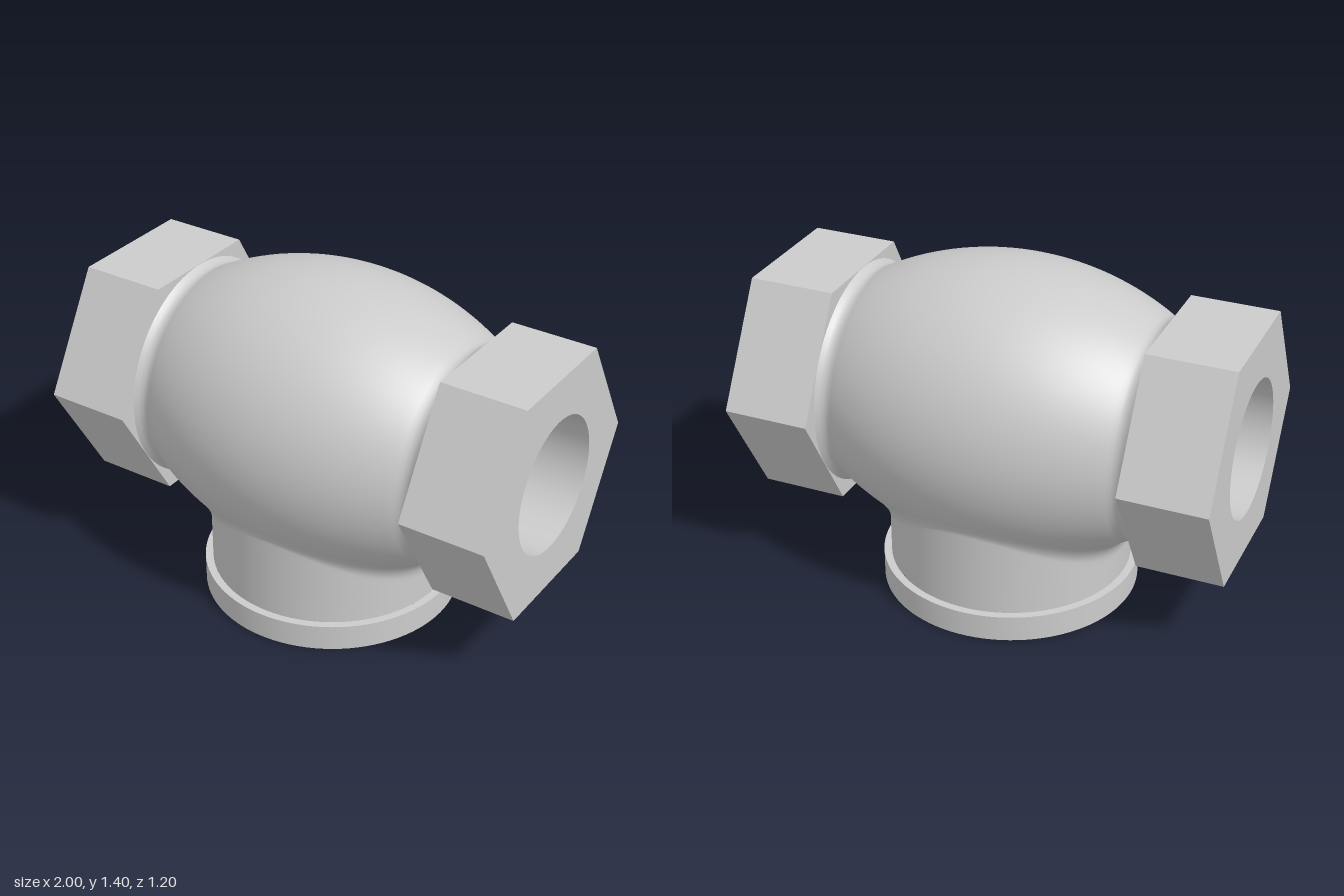
import * as THREE from 'three';
import { toCreasedNormals } from 'three/addons/utils/BufferGeometryUtils.js';

const AXIS = 0.8;      // height of the through-axis
const BORE = 0.28;     // port radius
const NECK = 0.5;      // outer neck radius
const NECK_IN = 0.42;  // inner neck radius

const material = new THREE.MeshStandardMaterial({ color: 0xcccccc });
const twoSided = new THREE.MeshStandardMaterial({ color: 0xcccccc, side: THREE.DoubleSide });
const inward = new THREE.MeshStandardMaterial({ color: 0xcccccc, side: THREE.BackSide });

function add(group, name, geometry, mat = material) {
  const mesh = new THREE.Mesh(geometry, mat);
  mesh.name = name;
  group.add(mesh);
  return mesh;
}

// Barrel radius at a distance x from the middle: shallow arc, then a small groove
function barrelRadius(x) {
  const a = Math.abs(x), R = 1.23;
  if (a <= 0.56) return 0.6 - R + Math.sqrt(R * R - a * a);
  const g = (a - 0.605) / 0.04;
  return 0.445 + 0.02 * g * g;
}

// Height of the barrel's underside at neck radius rho and angle t
function underside(rho, t, wall = 0) {
  const r = barrelRadius(rho * Math.cos(t)) - wall;
  const z = rho * Math.sin(t);
  return AXIS - Math.sqrt(Math.max(r * r - z * z, 0));
}

// Revolved barrel on the x axis, opened where the neck joins it
function barrel(half, wall, openRadius) {
  const points = [];
  for (let i = 0; i <= 72; i++) {
    const x = -half + (2 * half * i) / 72;
    points.push(new THREE.Vector2(barrelRadius(x) - wall, x));
  }
  const g = new THREE.LatheGeometry(points, 128);
  g.rotateZ(-Math.PI / 2).translate(0, AXIS, 0);
  const p = g.attributes.position, old = g.index.array, kept = [];
  for (let i = 0; i < old.length; i += 3) {
    const tri = [old[i], old[i + 1], old[i + 2]];
    const mean = (get) => tri.reduce((s, k) => s + get(k), 0) / 3;
    const x = mean((k) => p.getX(k)), y = mean((k) => p.getY(k)), z = mean((k) => p.getZ(k));
    if (y > AXIS || Math.hypot(x, z) > openRadius) kept.push(...tri);
  }
  g.setIndex(kept);
  return g;
}

// Closed surface around y; section(t) lists [radius, height] from bottom to top
function loft(section, n = 128) {
  const positions = [], index = [];
  let m = 0;
  for (let i = 0; i < n; i++) {
    const t = (i / n) * Math.PI * 2, row = section(t);
    m = row.length;
    for (const [r, y] of row) positions.push(r * Math.cos(t), y, r * Math.sin(t));
  }
  for (let i = 0; i < n; i++) {
    for (let j = 0; j < m - 1; j++) {
      const a = i * m + j, b = ((i + 1) % n) * m + j;
      index.push(a, a + 1, b, b, a + 1, b + 1);
    }
  }
  const g = new THREE.BufferGeometry();
  g.setAttribute('position', new THREE.Float32BufferAttribute(positions, 3));
  g.setIndex(index);
  g.computeVertexNormals();
  return g;
}

// Neck wall that flares into the barrel with a fillet wider along x
function neckSection(t) {
  const c = Math.cos(t) ** 2, e = 0.11 * c + 0.03 * (1 - c);
  const corner = underside(NECK, t), start = corner - 0.7 * e;
  const end = underside(NECK + e, t);
  const row = [[NECK, 0.11], [NECK, start - 0.02]];
  for (let i = 0; i <= 10; i++) {
    const s = i / 10, k = 1 - s;
    row.push([NECK + e * s * s, k * k * start + 2 * k * s * corner + s * s * end]);
  }
  return row;
}

// Inner neck wall; the -x half rises as a partition between the ports
function innerSection(t) {
  const top = Math.cos(t) < -0.001 ? 0.78 : underside(NECK_IN, t, 0.12);
  return [[NECK_IN, 0.2], [NECK_IN, top]];
}

function hexNut() {
  const shape = new THREE.Shape();
  const corner = 0.537;
  for (let i = 0; i < 6; i++) {
    const a = (i * Math.PI) / 3;
    shape[i ? 'lineTo' : 'moveTo'](corner * Math.cos(a), corner * Math.sin(a));
  }
  shape.closePath();
  const hole = new THREE.Path();
  hole.absarc(0, 0, BORE, 0, Math.PI * 2, true);
  shape.holes.push(hole);
  const g = new THREE.ExtrudeGeometry(shape, { depth: 0.357, bevelEnabled: false, curveSegments: 48 });
  g.translate(0, 0, 0.643).rotateY(Math.PI / 2);
  return toCreasedNormals(g, 0.5);
}

export function createModel() {
  const model = new THREE.Group();
  model.name = 'teeValveBody';

  // Rounded body and its cavity
  add(model, 'barrel', barrel(0.645, 0, 0.47));
  add(model, 'cavity', barrel(0.56, 0.12, 0.41), inward);

  // Neck with fillet, and its inner wall
  add(model, 'neck', loft(neckSection), twoSided);
  add(model, 'innerPartition', loft(innerSection), twoSided);

  // Bottom flange with bore and inner step
  const profile = [[NECK_IN, 0.2], [BORE, 0.2], [BORE, 0], [0.532, 0], [0.532, 0.11], [NECK, 0.11]]
    .map(([r, y]) => new THREE.Vector2(r, y));
  add(model, 'bottomFlange', toCreasedNormals(new THREE.LatheGeometry(profile, 96), 0.5));

  // Hexagonal ends, each with a bore that leads into the cavity
  for (const side of [1, -1]) {
    const end = new THREE.Group();
    end.name = side > 0 ? 'leftPort' : 'rightPort';
    if (side < 0) end.rotation.y = Math.PI;
    add(end, 'hexNut', hexNut());
    const bore = new THREE.CylinderGeometry(BORE, BORE, 0.085, 96, 1, true);
    bore.rotateZ(Math.PI / 2).translate(0.6025, AXIS, 0);
    add(end, 'bore', bore, inward);
    const lip = new THREE.RingGeometry(BORE, 0.345, 96);
    lip.rotateY(-Math.PI / 2).translate(0.56, AXIS, 0);
    add(end, 'boreLip', lip, twoSided);
    end.children[0].position.y = AXIS;
    model.add(end);
  }
  return model;
}
